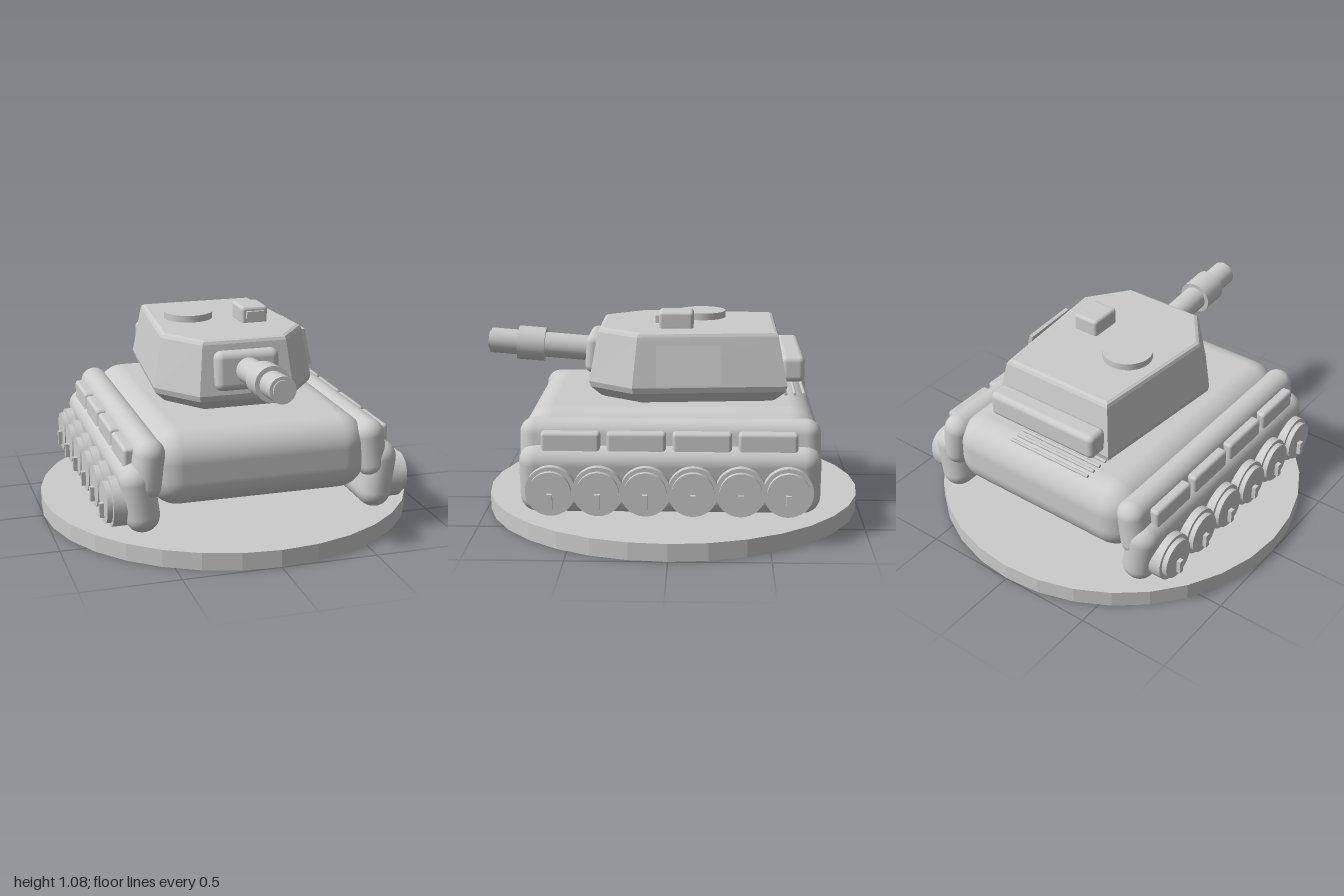
import * as THREE from 'three';
import { RoundedBoxGeometry } from 'three/addons/geometries/RoundedBoxGeometry.js';

const grey = new THREE.MeshStandardMaterial({ color: 0xcccccc });
grey.name = 'plain grey';

// Faceted version of a geometry
function faceted(geometry) {
  const flat = geometry.index ? geometry.toNonIndexed() : geometry;
  flat.computeVertexNormals();
  return flat;
}

// Closed solid from a stack of outlines, each [height, inset]
function loft(outline, levels, halfX, midZ, halfZ) {
  const n = outline.length, pos = [], index = [];
  for (const [y, inset] of levels) {
    for (const [x, z] of outline) {
      pos.push(x * (1 - inset / halfX), y, midZ + (z - midZ) * (1 - inset / halfZ));
    }
  }
  for (let l = 0; l < levels.length - 1; l++) {
    for (let i = 0; i < n; i++) {
      const a = l * n + i, b = l * n + (i + 1) % n;
      index.push(a, b, b + n, a, b + n, a + n);
    }
  }
  const top = (levels.length - 1) * n;
  for (let i = 1; i < n - 1; i++) {
    index.push(top, top + i, top + i + 1, 0, i + 1, i);
  }
  const g = new THREE.BufferGeometry();
  g.setAttribute('position', new THREE.Float32BufferAttribute(pos, 3));
  g.setIndex(index);
  return faceted(g);
}

export function createModel() {
  const model = new THREE.Group();
  model.name = 'tankOnStand';

  function add(name, geometry, x, y, z, parent = model) {
    const mesh = new THREE.Mesh(geometry, grey);
    mesh.name = name;
    mesh.position.set(x, y, z);
    parent.add(mesh);
    return mesh;
  }
  const rounded = (w, h, d, r, seg = 4) => new RoundedBoxGeometry(w, h, d, seg, r);

  // Round stand
  add('stand', faceted(new THREE.CylinderGeometry(1, 1, 0.09, 32)), 0, 0.045, 0);

  // Hull
  add('hull', rounded(1.14, 0.39, 1.51, 0.15, 6), 0, 0.435, 0);

  // Running gear, mirrored
  for (const s of [1, -1]) {
    const side = new THREE.Group();
    side.name = s > 0 ? 'leftRunningGear' : 'rightRunningGear';
    model.add(side);

    add('fender', rounded(0.155, 0.31, 1.51, 0.077), s * 0.583, 0.45, 0, side).rotation.z = s * 0.14;
    add('track', rounded(0.175, 0.355, 1.51, 0.087), s * 0.625, 0.307, 0, side).rotation.z = -s * 0.13;

    // Storage boxes along the fender
    for (let i = 0; i < 4; i++) {
      add('sideBox', rounded(0.09, 0.11, 0.295, 0.018, 2), s * 0.65, 0.5, 0.493 - i * 0.327, side);
    }

    // Road wheels with a raised cap and an upright lug
    for (let i = 0; i < 6; i++) {
      const z = 0.588 - i * 0.235;
      const tyre = new THREE.CylinderGeometry(0.125, 0.125, 0.12, 32).rotateZ(Math.PI / 2);
      const cap = new THREE.CylinderGeometry(0.105, 0.105, 0.04, 32).rotateZ(Math.PI / 2);
      add('wheel', tyre, s * 0.703, 0.273, z, side);
      add('wheelCap', cap, s * 0.77, 0.273, z, side);
      add('wheelLug', new THREE.BoxGeometry(0.03, 0.075, 0.028), s * 0.797, 0.233, z, side);
    }
  }

  // Turret
  const turret = new THREE.Group();
  turret.name = 'turret';
  model.add(turret);
  const outline = [[-0.43, 0.2], [-0.25, 0.435], [0.25, 0.435], [0.43, 0.2], [0.36, -0.595], [-0.36, -0.595]];
  const levels = [[0.63, 0.08], [0.64, 0.06], [0.69, 0.008], [0.72, 0], [0.975, 0.047], [0.99, 0.055], [0.997, 0.07]];
  add('turretBody', loft(outline, levels, 0.43, -0.08, 0.515), 0, 0, 0, turret);
  add('rearBin', rounded(0.655, 0.135, 0.12, 0.03), 0, 0.802, -0.625, turret);
  add('hatch', new THREE.CylinderGeometry(0.13, 0.13, 0.04, 32), -0.15, 1.013, -0.15, turret);
  add('sight', rounded(0.145, 0.1, 0.18, 0.018, 3), 0.157, 1.033, -0.02, turret);
  add('sightWindow', new THREE.BoxGeometry(0.095, 0.04, 0.04), 0.157, 1.04, 0.068, turret);

  // Leaning plate on the left side only
  const plate = add('sidePlate', new THREE.BoxGeometry(0.02, 0.205, 0.325), 0.442, 0.843, -0.087, turret);
  plate.rotation.set(0, 0.05, 0.21, 'YZX');

  // Gun, tilted slightly upwards
  add('gunMantlet', rounded(0.34, 0.205, 0.09, 0.04), 0, 0.843, 0.415, turret).rotation.x = -0.08;
  const gun = new THREE.Group();
  gun.name = 'gun';
  gun.position.set(0, 0.843, 0.4);
  gun.rotation.x = -0.08;
  turret.add(gun);
  const tube = (name, r, from, to) =>
    add(name, new THREE.CylinderGeometry(r, r, to - from, 32).rotateX(Math.PI / 2), 0, 0, (from + to) / 2, gun);
  tube('barrel', 0.067, 0, 0.583);
  tube('barrelSleeve', 0.09, 0.29, 0.435);
  tube('muzzle', 0.05, 0.58, 0.593);

  // Rods across the rear deck
  for (let i = 0; i < 4; i++) {
    const rod = new THREE.CylinderGeometry(0.009, 0.009, 0.495, 10).rotateZ(Math.PI / 2);
    add('deckRod', rod, -0.063, 0.64, -0.55 - i * 0.048);
  }

  return model;
}
